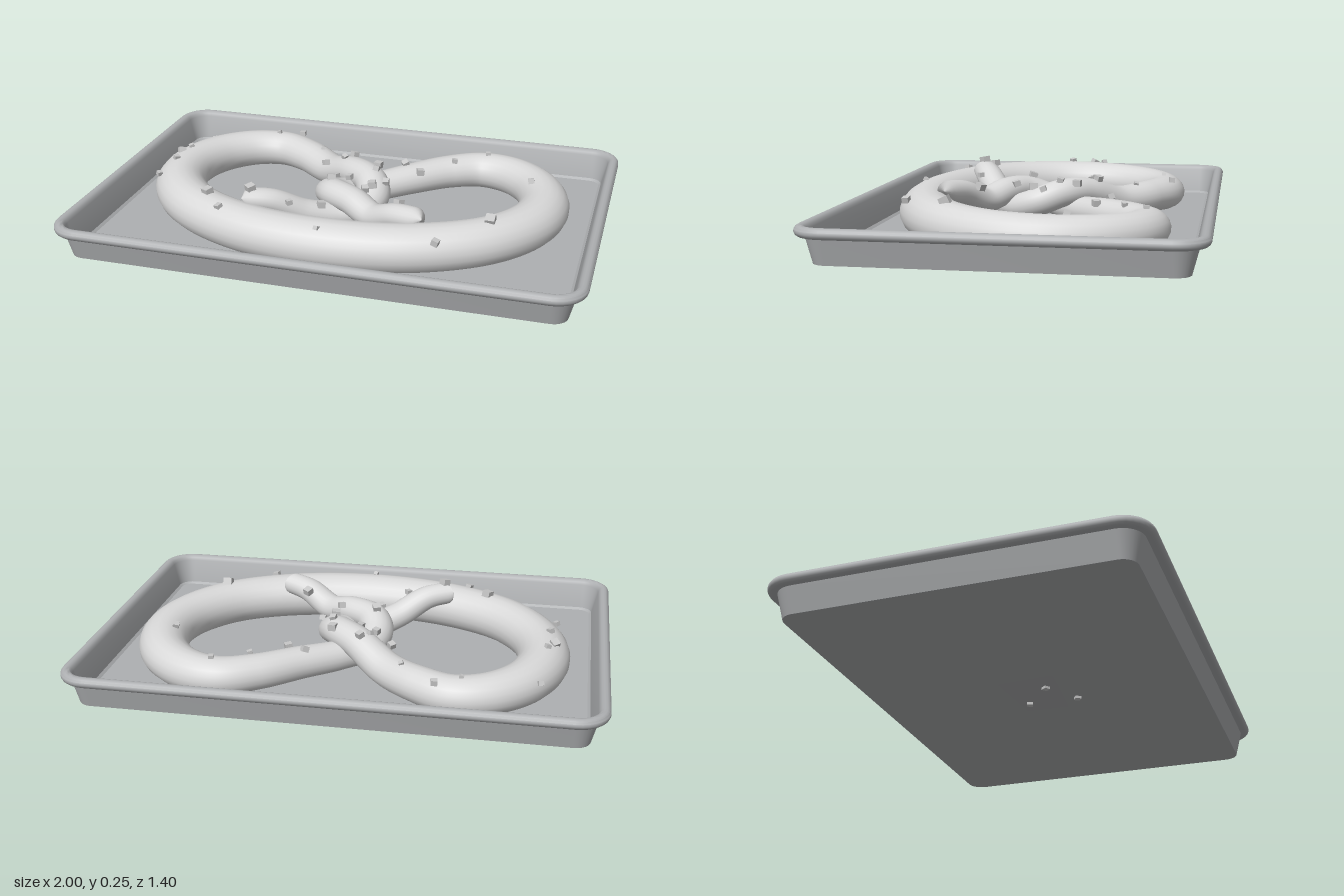
import * as THREE from 'three';
import { toCreasedNormals } from 'three/addons/utils/BufferGeometryUtils.js';

const FLAT = 0.8; // dough is a little lower than it is wide

// Tray: rounded rectangles lofted along a closed wall-and-rim profile
function trayGeometry() {
  const profile = [[0, 0.01], [0.008, 0.011], [0.034, 0.11]]; // [outward offset, height]
  for (let k = 0; k <= 10; k++) { // rolled rim
    const a = -2.0 + (k / 10) * 4.6;
    profile.push([0.049 + 0.021 * Math.cos(a), 0.126 + 0.02 * Math.sin(a)]);
  }
  profile.push([0.026, 0.125], [0.004, 0.028], [-0.006, 0.02]);
  const corner = 8, n = 4 * (corner + 1);
  const pos = [], idx = [];
  for (const [d, y] of profile) {
    const r = 0.05 + d;
    for (let q = 0; q < 4; q++) {
      const sx = q === 0 || q === 3 ? 1 : -1, sz = q < 2 ? 1 : -1;
      for (let k = 0; k <= corner; k++) {
        const a = (q + k / corner) * Math.PI / 2;
        pos.push(sx * 0.88 + r * Math.cos(a), y, sz * 0.58 + r * Math.sin(a));
      }
    }
  }
  const rows = profile.length, under = rows * n, floor = under + 1;
  pos.push(0, 0.01, 0, 0, 0.02, 0);
  for (let j = 0; j < n; j++) {
    const k = (j + 1) % n;
    for (let i = 0; i < rows - 1; i++) {
      const a = i * n + j, b = i * n + k;
      idx.push(a, a + n, b + n, a, b + n, b);
    }
    idx.push(under, j, k);
    idx.push(floor, (rows - 1) * n + k, (rows - 1) * n + j);
  }
  const g = new THREE.BufferGeometry();
  g.setAttribute('position', new THREE.Float32BufferAttribute(pos, 3));
  g.setIndex(idx);
  return toCreasedNormals(g, 0.6);
}

// Dough: one tapered rope, mirrored loops, crossing over and under at the knot
function doughGeometry() {
  // [x, z, radius, height on the left strand, height on the right strand]
  const half = [
    [-0.355, 0.315, 0.052, 0.185, 0.185],
    [-0.25, 0.27, 0.056, 0.17, 0.17],
    [-0.14, 0.205, 0.06, 0.11, 0.125],
    [-0.04, 0.14, 0.064, 0.082, 0.148],
    [0.055, 0.075, 0.066, 0.09, 0.145],
    [0.083, 0, 0.068, 0.115, 0.115],
    [0.05, -0.085, 0.068, 0.145, 0.085],
    [-0.04, -0.17, 0.07, 0.14, 0.078],
    [-0.17, -0.28, 0.076, 0.088, 0.085],
    [-0.31, -0.395, 0.082, 0.088, 0.088],
    [-0.44, -0.455, 0.088, 0.088, 0.088],
    [-0.57, -0.425, 0.092, 0.09, 0.09],
    [-0.69, -0.31, 0.096, 0.092, 0.092],
    [-0.75, -0.13, 0.1, 0.095, 0.095],
    [-0.72, 0.06, 0.104, 0.097, 0.097],
    [-0.58, 0.25, 0.107, 0.1, 0.1],
    [-0.32, 0.385, 0.11, 0.1, 0.1],
  ];
  const left = half.map(([x, z, r, y]) => [x, y, z, r]);
  const right = half.map(([x, z, r, , y]) => [-x, y, z, r]).reverse();
  const path = [...left, [0, 0.1, 0.43, 0.112], ...right];
  const curve = new THREE.CatmullRomCurve3(path.map(p => new THREE.Vector3(p[0], p[1], p[2])));
  curve.arcLengthDivisions = 1000;
  const segs = 480, sides = 20, length = curve.getLength();
  const g = new THREE.TubeGeometry(curve, segs, 1, sides, false);
  const pos = g.attributes.position, v = new THREE.Vector3();
  for (let i = 0; i <= segs; i++) {
    const u = i / segs, c = curve.getPointAt(u);
    const t = curve.getUtoTmapping(u) * (path.length - 1);
    const k = Math.min(Math.floor(t), path.length - 2);
    let r = THREE.MathUtils.lerp(path[k][3], path[k + 1][3], t - k);
    const end = Math.min(u, 1 - u) * length / 0.035; // rounded tips
    if (end < 1) r *= Math.sqrt(1 - (1 - end) ** 2);
    for (let j = 0; j <= sides; j++) {
      const m = i * (sides + 1) + j;
      v.fromBufferAttribute(pos, m).sub(c).multiplyScalar(r);
      pos.setXYZ(m, c.x + v.x, c.y + v.y * FLAT, c.z + v.z);
    }
  }
  return g;
}

export function createModel() {
  const metal = new THREE.MeshStandardMaterial({ color: 0xaeb0b2 });
  metal.name = 'tray metal';
  const dough = new THREE.MeshStandardMaterial({ color: 0xd9d9d9 });
  dough.name = 'dough';
  const saltColor = new THREE.MeshStandardMaterial({ color: 0xc6c6c6 });
  saltColor.name = 'salt';

  const model = new THREE.Group();
  model.name = 'pretzelOnTray';
  const add = (name, geometry, material, parent = model) => {
    const mesh = new THREE.Mesh(geometry, material);
    mesh.name = name;
    parent.add(mesh);
    return mesh;
  };

  add('tray', trayGeometry(), metal);
  const rope = add('pretzel', doughGeometry(), dough);

  // Coarse salt resting on the dough: [x, z, size]
  const grains = [
    [-0.47, -0.455, 0.016], [-0.375, -0.495, 0.024], [-0.235, -0.355, 0.018],
    [-0.75, -0.385, 0.02], [-0.765, -0.16, 0.02], [-0.79, -0.115, 0.03],
    [-0.77, -0.015, 0.022], [-0.79, 0.115, 0.02], [-0.5, 0.3, 0.034],
    [-0.415, 0.4, 0.024], [0, 0.48, 0.018], [0.435, 0.44, 0.026],
    [0.6, 0.25, 0.036], [0.685, -0.2, 0.024], [0.465, -0.455, 0.02],
    [0.34, -0.365, 0.02], [0.22, -0.245, 0.028], [0.145, -0.29, 0.026],
    [-0.175, -0.2, 0.025], [-0.055, -0.22, 0.026], [-0.09, -0.19, 0.02],
    [-0.095, -0.075, 0.026], [-0.03, -0.055, 0.024], [0.065, -0.15, 0.03],
    [0.075, -0.085, 0.024], [0.13, -0.025, 0.024], [0.085, 0.02, 0.032],
    [-0.075, 0.05, 0.03], [0.075, 0.09, 0.026], [-0.07, 0.2, 0.028],
    [-0.17, 0.29, 0.022], [-0.32, 0.305, 0.032], [0.24, 0.2, 0.03],
  ];
  const salt = new THREE.Group();
  salt.name = 'salt';
  model.add(salt);
  const cube = new THREE.BoxGeometry(1, 1, 1);
  const p = rope.geometry.attributes.position;
  const topAt = (x, z) => {
    let y = 0.02;
    for (let i = 0; i < p.count; i++) {
      if (Math.hypot(p.getX(i) - x, p.getZ(i) - z) < 0.018) y = Math.max(y, p.getY(i));
    }
    return y;
  };
  grains.forEach(([x, z, s], i) => {
    const grain = add('saltGrain', cube, saltColor, salt);
    grain.position.set(x, topAt(x, z) + s * 0.15, z);
    grain.scale.set(s, s * 0.85, s);
    grain.rotation.set(0.3 * Math.sin(i * 2.3), i * 1.7, 0.3 * Math.cos(i * 3.1));
  });

  // Stray grains just showing through the tray base
  for (const [x, z] of [[-0.08, 0.06], [0.05, 0.15], [0.05, -0.05]]) {
    const grain = add('strayGrain', cube, saltColor, salt);
    grain.position.set(x, 0.012, z);
    grain.scale.setScalar(0.024);
    grain.rotation.y = x * 9 + z;
  }
  return model;
}
